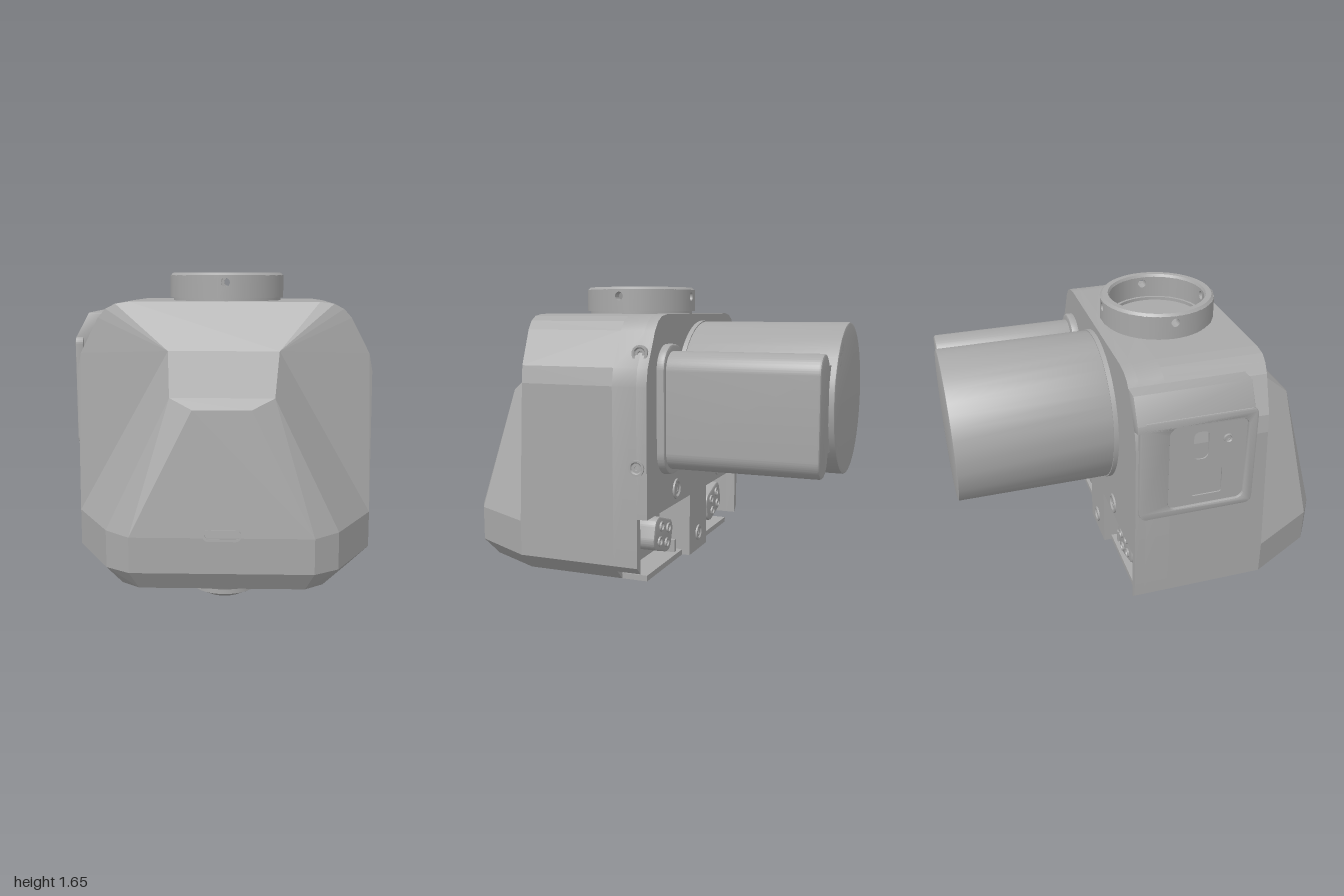
import * as THREE from 'three';
import { toCreasedNormals } from 'three/addons/utils/BufferGeometryUtils.js';
import { ConvexGeometry } from 'three/addons/geometries/ConvexGeometry.js';

const grey = new THREE.MeshStandardMaterial({ color: 0xa8a8a8 });
grey.name = 'machined grey';

function add(parent, name, geo, x = 0, y = 0, z = 0) {
  const m = new THREE.Mesh(geo, grey);
  m.name = name;
  m.position.set(x, y, z);
  parent.add(m);
  return m;
}
const box = (p, name, x0, x1, y0, y1, z0, z1) => add(p, name,
  new THREE.BoxGeometry(x1 - x0, y1 - y0, z1 - z0), (x0 + x1) / 2, (y0 + y1) / 2, (z0 + z1) / 2);
const polygon = pts => new THREE.Shape(pts.map(p => new THREE.Vector2(...p)));
const lathe = (pts, n = 40) => toCreasedNormals(
  new THREE.LatheGeometry(pts.map(p => new THREE.Vector2(...p)), n), 0.5);

// Rounded rectangle, also used for stadium shapes
function roundRect(x0, x1, y0, y1, r, Type = THREE.Shape) {
  const s = new Type();
  s.absarc(x1 - r, y1 - r, r, 0, Math.PI / 2);
  s.absarc(x0 + r, y1 - r, r, Math.PI / 2, Math.PI);
  s.absarc(x0 + r, y0 + r, r, Math.PI, Math.PI * 1.5);
  s.absarc(x1 - r, y0 + r, r, Math.PI * 1.5, Math.PI * 2);
  s.closePath();
  return s;
}
const hole = (...a) => roundRect(...a, THREE.Path);
function disc(x, y, r) {
  const s = new THREE.Shape();
  s.absarc(x, y, r, 0, Math.PI * 2);
  return s;
}
// Prism between two z values, with an optional bevel kept inside the outline
function prism(shape, z0, z1, bevel = 0) {
  const g = new THREE.ExtrudeGeometry(shape, {
    depth: z1 - z0 - 2 * bevel, curveSegments: 20, bevelEnabled: bevel > 0,
    bevelThickness: bevel, bevelSize: bevel, bevelOffset: -bevel, bevelSegments: 2 });
  return toCreasedNormals(g.translate(0, 0, z0 + bevel), 0.6);
}
// Dished screw head facing +z, turned about y
function screw(parent, name, x, y, z, r, turn) {
  const g = lathe([[r, -0.01], [r, 0.01], [r * 0.75, 0.01], [r * 0.6, 0.002], [r * 0.3, 0.002], [r * 0.25, -0.003], [0, -0.003]], 20);
  add(parent, name, g.rotateX(Math.PI / 2), x, y, z).rotation.y = turn;
}

// Upper half outline of the housing, from lower side to top
const side = [[0.752, 0.245], [0.752, 1.16], [0.735, 1.25], [0.64, 1.43], [0.6, 1.475], [0.55, 1.5], [0.48, 1.51]];
const mirror = pts => pts.flatMap(([x, y, z]) => [new THREE.Vector3(x, y, z), new THREE.Vector3(-x, y, z)]);

function housing() {
  const g = new THREE.Group();
  g.name = 'housing';
  g.position.x = 0.007;
  // Main shell with a slightly peaked front
  const frontZ = [0.56, 0.53, 0.535, 0.55, 0.555, 0.56, 0.56];
  const shell = [[0.65, 0.15, 0.02], [0.65, 0.15, 0.56], [0.752, 0.43, 0.56], [0.277, 1.27, 0.65]];
  side.forEach(([x, y], i) => shell.push([x, y, 0.02], [x, y, frontZ[i]]));
  add(g, 'mainShell', new ConvexGeometry(mirror(shell)));
  // Faceted nose
  add(g, 'nose', new ConvexGeometry(mirror([
    [0.277, 1.27, 0.65], [0.25, 1.07, 0.89], [0.14, 1.02, 0.94],
    [0.752, 0.43, 0.56], [0.56, 0.43, 0.92], [0.44, 0.42, 1],
    [0.752, 0.245, 0.56], [0.56, 0.245, 0.92], [0.44, 0.245, 1],
    [0.65, 0.15, 0.56], [0.49, 0.15, 0.87], [0.4, 0.15, 0.94]])));

  // Rear frame in two layers, with two connector bays beside a central pillar
  const bay = [[0.14, 0.15], [0.14, 0.5]];
  const walled = [...bay, [0.71, 0.5], [0.71, 0.205], ...side];
  const open = [...bay, [0.752, 0.5], ...side.slice(1)];
  const left = walled.map(([x, y]) => [-x, y]).reverse();
  add(g, 'rearFrame', prism(polygon([...walled, ...left]), -0.11, 0.02));
  add(g, 'rearPlate', prism(polygon([...open, ...left]), -0.165, -0.11));
  for (const s of [-1, 1]) {
    const a = Math.min(s * 0.14, s * 0.65), b = Math.max(s * 0.14, s * 0.65);
    box(g, 'bayFloor', a, b, 0.15, 0.18, -0.12, 0.02);
    box(g, 'bayRib', s * 0.2 - 0.012, s * 0.2 + 0.012, 0.18, 0.25, -0.1, 0.02);
    // Multi-pin connector
    const plug = new THREE.Group();
    plug.name = 'connector';
    plug.position.set(s * 0.42, 0.34, -0.02);
    plug.rotation.z = s * 0.3;
    g.add(plug);
    add(plug, 'connectorBody', prism(roundRect(-0.13, 0.13, -0.09, 0.09, 0.06), -0.1, 0.05, 0.01));
    for (const x of [-0.05, 0.05]) for (const y of [-0.04, 0.04]) screw(plug, 'connectorPin', x, y, -0.1, 0.026, Math.PI);
    screw(g, 'rearScrew', s * 0.35, 0.58, -0.165, 0.055, Math.PI);
  }
  screw(g, 'pillarScrew', 0, 0.25, -0.165, 0.045, Math.PI);
  for (const y of [0.76, 1.32]) screw(g, 'sideScrew', y > 1 ? 0.7 : 0.752, y, -0.11, 0.042, Math.PI / 2);

  // Status slot on the nose
  const slot = roundRect(-0.092, 0.092, -0.028, 0.028, 0.028);
  slot.holes.push(hole(-0.08, 0.08, -0.018, 0.018, 0.018));
  add(g, 'statusSlot', prism(slot, -0.004, 0.005), 0.002, 0.432, 0.999).rotation.x = -0.1;
  return g;
}

// Raised access panel on the right flank
function sidePanel() {
  const g = new THREE.Group();
  g.name = 'sidePanel';
  add(g, 'panelShoulder', prism(polygon([[-0.59, 1.45], [-0.7, 1.45], [-0.77, 1.32], [-0.77, 1.28], [-0.7, 1.26], [-0.6, 1.4]]), -0.165, 0.44, 0.004));
  const frame = roundRect(-0.15, 0.46, 0.76, 1.33, 0.04);
  frame.holes.push(hole(0, 0.41, 0.8, 1.28, 0.04));
  add(g, 'panelFrame', prism(frame, 0.73, 0.77, 0.006).rotateY(-Math.PI / 2));
  const plate = roundRect(-0.01, 0.42, 0.79, 1.29, 0.04);
  plate.holes.push(hole(0.13, 0.21, 1.07, 1.23, 0.03), hole(0.13, 0.29, 0.85, 1, 0.01));
  add(g, 'slottedPlate', prism(plate, 0.735, 0.753).rotateY(-Math.PI / 2));
  screw(g, 'panelScrew', -0.755, 1.17, 0.31, 0.025, -Math.PI / 2);
  return g;
}

function motor() {
  const g = new THREE.Group();
  g.name = 'motor';
  const cx = -0.045, cy = 1.06;
  add(g, 'motorFlange', prism(disc(cx, cy, 0.412), -0.19, -0.15));
  add(g, 'motorBody', prism(disc(cx, cy, 0.406), -1, -0.17, 0.006));
  add(g, 'sidePodFlange', prism(roundRect(0.34, 0.63, 0.69, 1.36, 0.13), -0.205, -0.15, 0.01));
  add(g, 'sidePod', prism(roundRect(0.39, 0.605, 0.72, 1.325, 0.1), -0.98, -0.17, 0.012));
  box(g, 'podWeb', 0.25, 0.43, 0.82, 1.26, -0.97, -0.17);
  // Pairs of end screws
  for (let i = 0; i < 4; i++) {
    const a = Math.PI / 4 + i * Math.PI / 2;
    [[-0.08, 0.036], [0.13, 0.026]].forEach(([d, r]) =>
      screw(g, 'endScrew', cx + 0.345 * Math.cos(a + d), cy + 0.345 * Math.sin(a + d), -0.99, r, Math.PI));
  }
  return g;
}

// Neck ring made of staves, four of them drilled
function neck() {
  const g = new THREE.Group();
  g.name = 'neck';
  g.position.set(0.01, 0, 0.185);
  const N = 24, R = 0.304, w = R * Math.tan(Math.PI / N);
  for (let i = 0; i < N; i++) {
    const s = polygon([[-w, 1.525], [w, 1.525], [w, 1.642], [-w, 1.642]]);
    if (i % 6 === 0) s.holes.push(disc(0, 1.605, 0.023));
    const geo = prism(s, R - 0.05, R);
    const p = geo.attributes.position, n = geo.attributes.normal;
    for (let k = 0; k < p.count; k++) if (Math.abs(n.getZ(k)) > 0.9) {
      const v = new THREE.Vector3(p.getX(k), 0, p.getZ(k)).normalize().multiplyScalar(Math.sign(n.getZ(k)));
      n.setXYZ(k, v.x, 0, v.z);
    }
    add(g, 'neckStave', geo).rotation.y = i * 2 * Math.PI / N;
  }
  add(g, 'neckRim', lathe([[0.254, 1.641], [0.305, 1.641], [0.292, 1.655], [0.262, 1.655], [0.254, 1.641]], 48));
  add(g, 'neckBase', lathe([[0.29, 1.5], [0.29, 1.527], [0.24, 1.527], [0.24, 1.5]], 48));
  return g;
}

export function createModel() {
  const model = new THREE.Group();
  model.name = 'cameraHead';
  model.add(housing(), sidePanel(), motor(), neck());
  // Lens dome under the nose
  add(model, 'lensDome', lathe([[0, 0], [0.05, 0.004], [0.1, 0.018], [0.165, 0.052], [0.165, 0.1], [0.225, 0.1], [0.258, 0.155]]), 0.01, 0, 0.6);
  return model;
}
